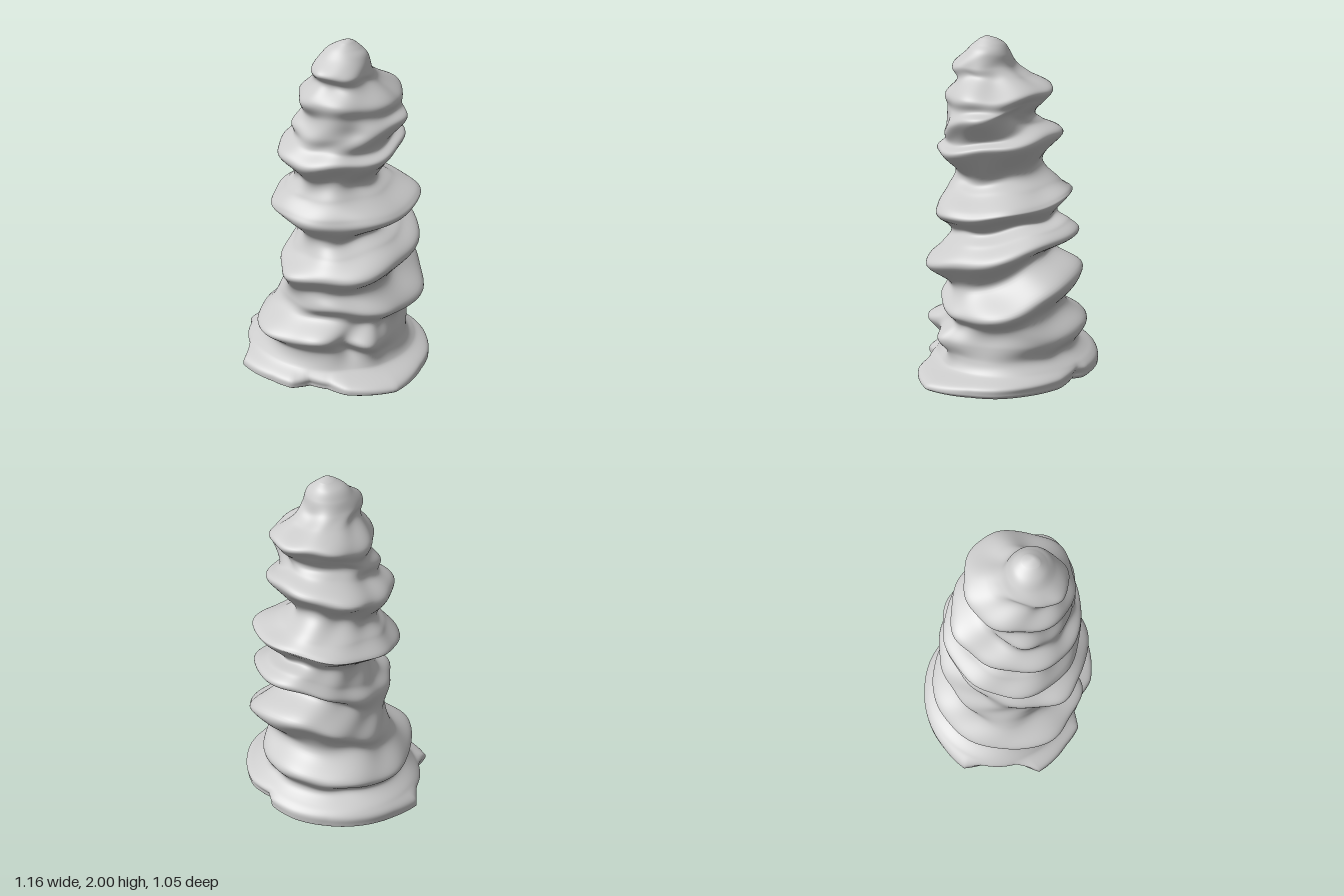
import * as THREE from 'three';

const SEGMENTS = 180, RINGS = 280;

// Side profiles, [outward distance, height], matched ledge by ledge from base to tip
const curve = (pts) => new THREE.SplineCurve(pts.map(([d, y]) => new THREE.Vector2(d, y)));
const front = curve([
  [.50, .005], [.52, .035], [.45, .09], [.41, .20], [.475, .30], [.355, .40], [.38, .48], [.36, .57],
  [.47, .69], [.37, .79], [.325, .87], [.41, .97], [.405, 1.03], [.34, 1.12], [.31, 1.22], [.41, 1.34],
  [.35, 1.42], [.35, 1.50], [.325, 1.60], [.345, 1.68], [.28, 1.77], [.31, 1.83], [.23, 1.91], [.19, 1.95],
  [.15, 1.98]]);
const left = curve([
  [.54, .025], [.575, .075], [.48, .13], [.435, .19], [.425, .27], [.41, .37], [.515, .48], [.36, .62],
  [.49, .78], [.39, .87], [.30, .93], [.475, 1.03], [.475, 1.08], [.33, 1.15], [.26, 1.22], [.405, 1.40],
  [.35, 1.45], [.43, 1.57], [.39, 1.62], [.385, 1.68], [.27, 1.77], [.245, 1.83], [.22, 1.91], [.18, 1.95],
  [.14, 1.98]]);
const back = curve([
  [.47, .035], [.52, .08], [.485, .13], [.40, .20], [.46, .32], [.315, .45], [.44, .67], [.255, .78],
  [.41, .90], [.36, .96], [.285, 1.0], [.36, 1.10], [.36, 1.13], [.285, 1.18], [.19, 1.29], [.31, 1.45],
  [.19, 1.52], [.15, 1.57], [.22, 1.65], [.26, 1.72], [.13, 1.78], [.055, 1.83], [.02, 1.90], [-.01, 1.95],
  [-.05, 1.98]]);
const right = curve([
  [.55, .025], [.58, .06], [.52, .13], [.43, .20], [.46, .26], [.35, .38], [.32, .48], [.28, .57],
  [.29, .71], [.22, .80], [.19, .93], [.33, 1.02], [.355, 1.05], [.27, 1.12], [.205, 1.20], [.31, 1.36],
  [.20, 1.45], [.20, 1.52], [.165, 1.59], [.19, 1.68], [.09, 1.79], [.08, 1.85], [.04, 1.91], [0, 1.95],
  [-.06, 1.98]]);

// Ragged skirt outline: [degrees from the front round to the left, radius]
const skirt = [[0, .46], [14, .485], [25, .555], [52, .635], [78, .585], [93, .575], [110, .55], [135, .525],
  [152, .47], [159, .515], [178, .525], [200, .525], [222, .54], [245, .56], [262, .59], [273, .52],
  [285, .51], [298, .49], [310, .585], [335, .535], [350, .53], [360, .46]];
const skirtRadius = (a) => {
  const d = THREE.MathUtils.radToDeg(a);
  const i = skirt.findIndex(([end]) => end > d);
  const [d0, r0] = skirt[i - 1], [d1, r1] = skirt[i];
  return THREE.MathUtils.lerp(r0, r1, (d - d0) / (d1 - d0));
};

// Local dents and swellings: angle, height, angular width, height width, amount
const dents = [
  [.50, .25, .16, .10, -.05], [.82, .28, .14, .12, .03], [.10, .33, .30, .05, .025],
  [-.55, .28, .25, .07, .02], [-.65, .68, .25, .05, .04], [2.6, .22, .2, .05, -.02],
  [2.2, .35, .25, .06, .02], [3.7, .25, .22, .06, -.02], [.35, 1.52, .3, .05, -.03],
  [2.5, 1.58, .25, .07, -.03], [-2.3, 1.42, .3, .05, .02], [-.5, 1.84, .3, .04, .02]];

function surfacePoint(t, a) {
  const [F, L, B, R] = [front, left, back, right].map((c) => c.getPoint(t));
  const c = Math.cos(a), s = Math.sin(a);
  // Ledge heights swing smoothly through the four profiles
  const mean = (F.y + B.y + L.y + R.y) / 4;
  let y = mean + (F.y - B.y) / 2 * c + (L.y - R.y) / 2 * s
    + (F.y + B.y - L.y - R.y) / 4 * Math.cos(2 * a);
  const body = THREE.MathUtils.smoothstep(y, .12, .3) * (1 - THREE.MathUtils.smoothstep(y, 1.75, 1.9));
  y += body * .012 * Math.sin(3 * a + 6 * y) * Math.sin(2 * a);

  // Organic unevenness, slanting round the body
  let bump = body * (.007 * Math.sin(4 * a + 17 * y) + .005 * Math.sin(7 * a - 23 * y + 1));
  for (const [da, dy, wa, wy, amount] of dents) {
    const e = Math.atan2(Math.sin(a - da), Math.cos(a - da)) / wa, h = (y - dy) / wy;
    bump += amount * Math.exp(-e * e - h * h);
  }
  let x = (L.x - R.x) / 2 + ((L.x + R.x) / 2 + bump) * s;
  let z = (F.x - B.x) / 2 + ((F.x + B.x) / 2 + bump) * c;

  // Blend into the skirt at the foot, thinnest at the front
  const low = .05 - .02 * c;
  const w = 1 - THREE.MathUtils.smoothstep(y, low, low + .08);
  const r = skirtRadius(a) * Math.min(1, .96 + 2 * t);
  x = THREE.MathUtils.lerp(x, r * s, w);
  z = THREE.MathUtils.lerp(z, r * c, w);
  return [x, Math.max(0, y), z];
}

function makeMesh(name, positions, index) {
  const g = new THREE.BufferGeometry();
  g.setAttribute('position', new THREE.Float32BufferAttribute(positions, 3));
  g.setIndex(index);
  g.computeVertexNormals();
  const mesh = new THREE.Mesh(g, new THREE.MeshStandardMaterial({ color: 0xcccccc }));
  mesh.name = name;
  return mesh;
}

export function createModel() {
  const group = new THREE.Group();
  group.name = 'layeredSpire';
  const angle = (j) => j / SEGMENTS * 2 * Math.PI;

  // Ledged body, closed with a rounded tip
  const pos = [], idx = [];
  for (let i = 0; i <= RINGS; i++)
    for (let j = 0; j < SEGMENTS; j++) pos.push(...surfacePoint(i / RINGS, angle(j)));
  const tip = pos.length / 3;
  pos.push(.11, 2, .11);
  for (let i = 0; i <= RINGS; i++)
    for (let j = 0; j < SEGMENTS; j++) {
      const k = (j + 1) % SEGMENTS, a = i * SEGMENTS + j, b = i * SEGMENTS + k;
      if (i === RINGS) idx.push(a, b, tip);
      else idx.push(a, b, b + SEGMENTS, a, b + SEGMENTS, a + SEGMENTS);
    }
  group.add(makeMesh('ledgedBody', pos, idx));

  // Flat underside
  const under = [], underIdx = [];
  for (let j = 0; j < SEGMENTS; j++) {
    under.push(...surfacePoint(0, angle(j)));
    underIdx.push((j + 1) % SEGMENTS, j, SEGMENTS);
  }
  under.push(0, .015, 0);
  group.add(makeMesh('underside', under, underIdx));
  return group;
}
